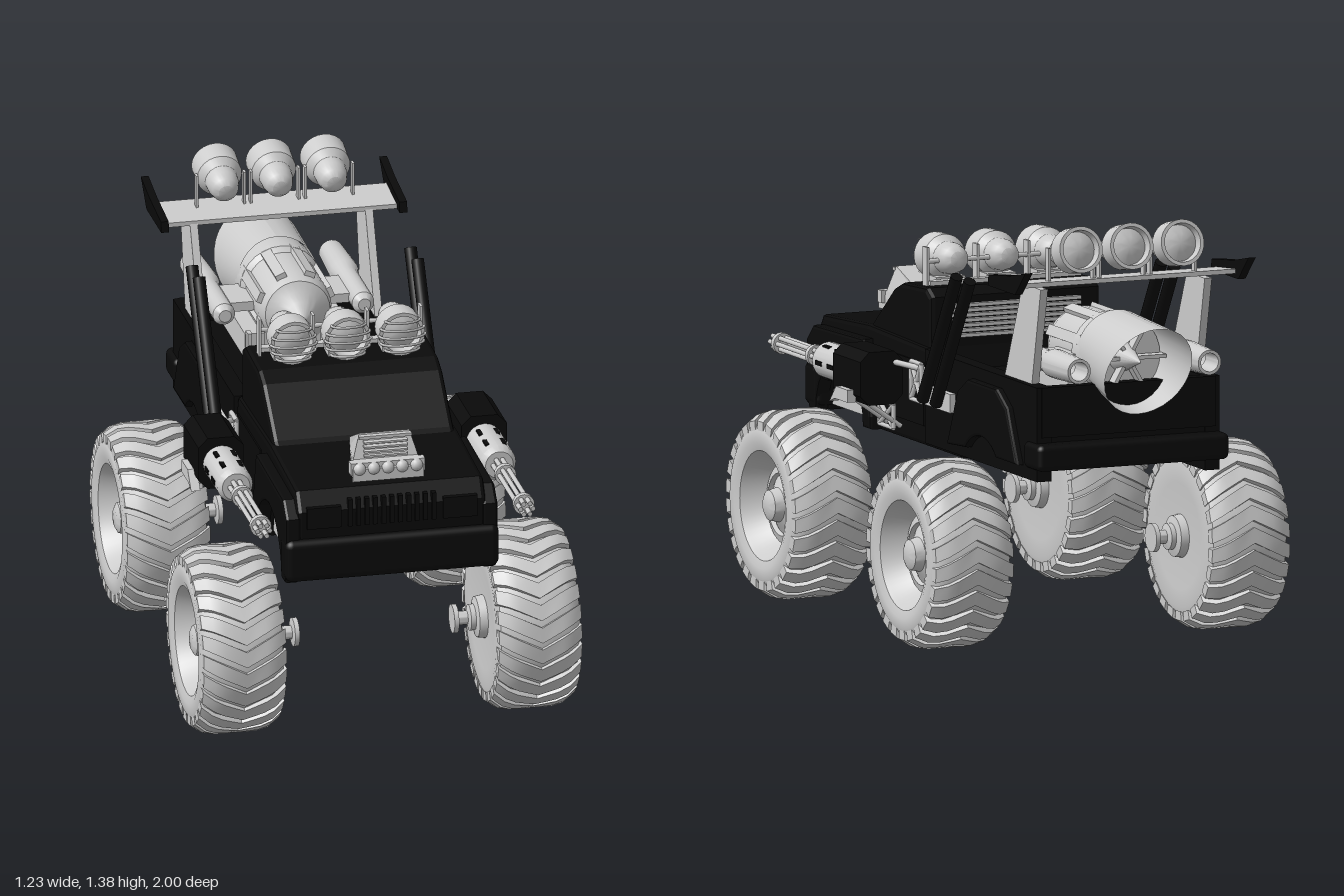
import * as THREE from 'three';
import { toCreasedNormals, mergeGeometries } from 'three/addons/utils/BufferGeometryUtils.js';
import { RoundedBoxGeometry } from 'three/addons/geometries/RoundedBoxGeometry.js';

const grey = new THREE.MeshStandardMaterial({ color: 0xcccccc });
const greyThin = new THREE.MeshStandardMaterial({ color: 0xcccccc, side: THREE.DoubleSide });
const black = new THREE.MeshStandardMaterial({ color: 0x0a0a0a });
const V = (x, y, z) => new THREE.Vector3(x, y, z);

function add(parent, name, geo, mat, x = 0, y = 0, z = 0) {
  const m = new THREE.Mesh(geo, mat);
  m.name = name;
  m.position.set(x, y, z);
  parent.add(m);
  return m;
}
function group(parent, name, x = 0, y = 0, z = 0) {
  const g = new THREE.Group();
  g.name = name;
  g.position.set(x, y, z);
  parent.add(g);
  return g;
}
const box = (w, h, d) => new THREE.BoxGeometry(w, h, d);

// Turned profile of [radius, height] pairs, creased at sharp steps
const lathe = (pts, n = 32) =>
  toCreasedNormals(new THREE.LatheGeometry(pts.map(p => new THREE.Vector2(p[0], p[1])), n), 0.6);
const latheZ = (pts, n) => lathe(pts, n).rotateX(Math.PI / 2);

// Side outline of [z, y] pairs, extruded across x and centred
function side(pts, width, bevel = 0) {
  const shape = new THREE.Shape(pts.map(p => new THREE.Vector2(p[0], p[1])));
  const depth = width - 2 * bevel;
  return new THREE.ExtrudeGeometry(shape, {
    depth, bevelEnabled: bevel > 0, bevelSize: bevel, bevelThickness: bevel, bevelOffset: -bevel, bevelSegments: 2,
  }).translate(0, 0, -depth / 2).rotateY(-Math.PI / 2);
}
function rod(a, b, r, n = 10) {
  const d = b.clone().sub(a);
  const q = new THREE.Quaternion().setFromUnitVectors(V(0, 1, 0), d.clone().normalize());
  return new THREE.CylinderGeometry(r, r, d.length(), n).applyQuaternion(q)
    .translate((a.x + b.x) / 2, (a.y + b.y) / 2, (a.z + b.z) / 2);
}
// Rectangular frame with crossed braces, standing in the zy plane
function crossFrame(x, z0, z1, y0, y1) {
  const c = [V(x, y0, z0), V(x, y0, z1), V(x, y1, z1), V(x, y1, z0)];
  const pairs = [[0, 1], [1, 2], [2, 3], [3, 0], [0, 2], [1, 3]];
  return mergeGeometries(pairs.map(([i, j]) => rod(c[i], c[j], 0.008, 6)));
}
// Points along a wheel arch, from angle a to b
const arc = (z, y, r, a, b, n = 12) =>
  Array.from({ length: n + 1 }, (_, i) => {
    const t = a + (b - a) * i / n;
    return [z + r * Math.cos(t), y + r * Math.sin(t)];
  });

// Chevron lug: a box bent round the tyre, trailing towards both shoulders
function lug(angle) {
  const g = new THREE.BoxGeometry(0.268, 0.03, 0.05, 8, 1, 1), p = g.attributes.position;
  for (let i = 0; i < p.count; i++) {
    const x = p.getX(i), ax = Math.abs(x);
    const r = 0.285 + p.getY(i) - Math.max(0, ax - 0.09) * 0.7;
    const a = angle + p.getZ(i) / 0.3 - ax * 1.7;
    p.setXYZ(i, x, r * Math.cos(a), r * Math.sin(a));
  }
  return toCreasedNormals(g, 0.5);
}

function wheel(parent, name, s, z) {
  const w = group(parent, name, s * 0.477, 0.3, z);
  const turn = -s * Math.PI / 2;
  add(w, 'tyre', lathe([[0, -0.12], [0.17, -0.13], [0.225, -0.134], [0.258, -0.125], [0.28, -0.09], [0.288, 0],
    [0.28, 0.09], [0.262, 0.122], [0.235, 0.136], [0.2, 0.136], [0.175, 0.128], [0.168, 0.115],
    [0.135, 0.05], [0.13, 0.045], [0, 0.045]], 48).rotateZ(turn), grey);
  add(w, 'wheelHub', lathe([[0.13, 0.04], [0.125, 0.058], [0.1, 0.066], [0.095, 0.052], [0.055, 0.075],
    [0.048, 0.105], [0.03, 0.115], [0, 0.115]]).rotateZ(turn), grey);
  add(w, 'axleStub', lathe([[0, -0.227], [0.046, -0.227], [0.046, -0.212], [0.022, -0.208], [0.022, -0.178],
    [0.042, -0.172], [0.042, -0.156], [0.065, -0.15], [0.07, -0.12], [0, -0.12]], 24).rotateZ(turn), grey);
  const n = 26;
  add(w, 'treadLugs', mergeGeometries(Array.from({ length: n }, (_, i) => lug(i * 2 * Math.PI / n))), grey);
}

// Round lamp facing +z
function lamp(parent, name, x, y, z, grille) {
  const g = group(parent, name, x, y, z);
  add(g, 'lampHousing', latheZ([[0, -0.12], [0.025, -0.116], [0.042, -0.1], [0.05, -0.07], [0.052, -0.04],
    [0.072, -0.015], [0.074, 0.06], [0.062, 0.06], [0.058, 0.03], [0.03, 0.042], [0, 0.046]], 24), grey);
  if (grille) for (let i = -2; i <= 2; i++) {
    const h = i * 0.025, w = Math.sqrt(0.074 ** 2 - h * h);
    add(g, 'lampGuardBar', new THREE.TorusGeometry(w, 0.005, 5, 12, Math.PI).rotateX(Math.PI / 2).scale(1, 1, 0.45),
      grey, 0, h, 0.06);
  }
  return g;
}

function buildBody(car) {
  const body = group(car, 'body');
  add(body, 'lowerBody', side([[0.94, 0.6], [0.95, 0.8], [0.91, 0.86], [0.56, 0.88], [0.1, 0.87], [0.08, 0.8],
    [-0.76, 0.8], [-0.76, 0.61], [-0.22, 0.6], [-0.15, 0.555], [0.5, 0.555],
    ...arc(0.7, 0.56, 0.18, Math.PI, 0), [0.9, 0.57]], 0.61, 0.015), black);
  add(body, 'frontWheelWell', side([[0.52, 0.58], [0.88, 0.58], ...arc(0.7, 0.56, 0.178, 0.1, Math.PI - 0.1)], 0.57), grey);
  add(body, 'cab', side([[0.6, 0.86], [0.55, 0.89], [0.39, 1.02], [0.33, 1.045], [0.14, 1.055], [0.1, 1.03],
    [0.1, 0.82], [0.55, 0.82]], 0.585, 0.015), black);
  add(body, 'frontBumper', new RoundedBoxGeometry(0.69, 0.14, 0.1, 3, 0.025), black, 0, 0.64, 0.92);
  add(body, 'rearBumper', new RoundedBoxGeometry(0.66, 0.085, 0.13, 3, 0.02), black, 0, 0.65, -0.75);
  add(body, 'tailgate', box(0.6, 0.16, 0.04), black, 0, 0.79, -0.75);
  for (let i = -5; i <= 5; i++) add(body, 'grilleSlat', box(0.014, 0.09, 0.02), black, i * 0.027, 0.79, 0.948);
  // Rear window louvre
  for (let i = 0; i < 7; i++) add(body, 'rearLouvre', box(0.44, 0.011, 0.02), grey, 0, 0.905 + i * 0.016, 0.095);
  for (const s of [1, -1]) {
    add(body, 'headlightFrame', box(0.11, 0.07, 0.02), black, s * 0.22, 0.78, 0.948);
    add(body, 'bedSide', box(0.05, 0.3, 0.86), black, s * 0.29, 0.72, -0.335);
    add(body, 'frontFender', side([[0.95, 0.6], [0.95, 0.78], [0.9, 0.83], [0.52, 0.84], [0.46, 0.6], [0.46, 0.56],
      [0.52, 0.56], ...arc(0.7, 0.56, 0.18, Math.PI, 0), [0.93, 0.56]], 0.05, 0.01), black, s * 0.318);
    add(body, 'rearFender', side([[-0.12, 0.6], [-0.2, 0.78], [-0.28, 0.83], [-0.5, 0.83], [-0.58, 0.78],
      [-0.66, 0.61], ...arc(-0.38, 0.5, 0.16, 0.75, 2.39).reverse()], 0.05, 0.01), black, s * 0.315);
    add(body, 'doorPanel', box(0.02, 0.2, 0.32), black, s * 0.3, 0.72, 0.28);
    add(body, 'sideCrossFrame', crossFrame(s * 0.325, 0.1, 0.18, 0.7, 0.82), grey);
    // Slanted stacks with their mounting plate
    add(body, 'stackPlate', box(0.02, 0.06, 0.19), grey, s * 0.325, 0.73, -0.045);
    for (const dz of [0, -0.1])
      add(body, 'exhaustStack', rod(V(s * 0.353, 0.72, 0.03 + dz), V(s * 0.353, 1.15, -0.232 + dz), 0.02, 14), black);
  }
}

function buildScoop(car) {
  const g = group(car, 'hoodScoop');
  // Wedge that narrows towards the windscreen
  const wedge = side([[0.59, 0.87], [0.9, 0.87], [0.9, 0.91], [0.86, 0.93], [0.84, 1.01], [0.59, 0.9]], 2);
  const p = wedge.attributes.position;
  for (let i = 0; i < p.count; i++) {
    const half = 0.055 + 0.06 * (p.getZ(i) - 0.59) / 0.31 - Math.max(0, p.getY(i) - 0.92) * 0.25;
    p.setX(i, p.getX(i) * half);
  }
  wedge.computeVertexNormals();
  add(g, 'scoopWedge', wedge, grey);
  add(g, 'scoopFrame', box(0.17, 0.01, 0.02), grey, 0, 1.0, 0.85);
  for (let i = 0; i < 4; i++) add(g, 'scoopSlat', box(0.14, 0.006, 0.02), grey, 0, 0.94 + i * 0.015, 0.86);
  add(g, 'scoopLip', box(0.24, 0.04, 0.03), grey, 0, 0.91, 0.88);
  for (let i = -2; i <= 2; i++) add(g, 'scoopLight', new THREE.SphereGeometry(0.021, 12, 8), grey, i * 0.046, 0.91, 0.892);
}

function buildGun(car, s) {
  const g = group(car, s > 0 ? 'leftGun' : 'rightGun', s * 0.425, 0.77, 0);
  const w = 0.073, h = 0.085, c = 0.03;
  const shape = new THREE.Shape([[-w, c - h], [c - w, -h], [w - c, -h], [w, c - h], [w, h - c], [w - c, h],
    [c - w, h], [-w, h - c]].map(q => new THREE.Vector2(...q)));
  add(g, 'gunCase', new THREE.ExtrudeGeometry(shape, { depth: 0.21, bevelEnabled: false }), black, 0, 0, 0.185);
  add(g, 'gunShroud', latheZ([[0, 0.38], [0.058, 0.38], [0.058, 0.59], [0.045, 0.61], [0, 0.61]], 20), grey);
  for (let i = 0; i < 6; i++) {
    const a = i * Math.PI / 3, x = Math.cos(a), y = Math.sin(a);
    add(g, 'gunBarrel', rod(V(x * 0.02, y * 0.02, 0.6), V(x * 0.02, y * 0.02, 1), 0.008, 8), grey);
    for (const z of [0.45, 0.54]) add(g, 'shroudVent', box(0.014, 0.014, 0.045), black, x * 0.054, y * 0.054, z);
  }
  for (const z of [0.69, 0.95])
    add(g, 'barrelClamp', latheZ([[0, -0.01], [0.034, -0.01], [0.034, 0.01], [0, 0.01]], 16), grey, 0, 0, z);
  // Mount that ties the gun to the body
  add(g, 'ammoBox', side([[0.24, -0.08], [0.34, -0.08], [0.38, -0.095], [0.33, -0.04], [0.24, -0.04]], 0.03), grey, s * 0.078);
  for (const z of [0.26, 0.36])
    add(g, 'mountStrut', rod(V(-s * 0.1, -0.17, z), V(s * 0.02, -0.085, z), 0.008, 8), grey);
  add(g, 'mountFrame', crossFrame(-s * 0.075, 0.26, 0.37, -0.175, -0.1), grey);
  add(g, 'upperStrut', rod(V(-s * 0.12, 0.03, 0.1), V(-s * 0.04, 0.05, 0.2), 0.01, 8), grey);
}

function buildJet(car) {
  const g = group(car, 'jetEngine', 0, 0.945, 0);
  add(g, 'jetCore', latheZ([[0, -0.72], [0.13, -0.72], [0.132, -0.62], [0.118, -0.6], [0.118, -0.42], [0.105, -0.38],
    [0.075, -0.365], [0.05, -0.34], [0, -0.29]], 28), grey);
  for (let i = 0; i < 8; i++) {
    const a = (i + 0.5) * Math.PI / 4;
    add(g, 'jetRib', box(0.025, 0.035, 0.24), grey, Math.cos(a) * 0.118, Math.sin(a) * 0.118, -0.53).rotation.z = a;
  }
  // Nozzle with slanted ends
  const nozzle = new THREE.CylinderGeometry(0.147, 0.128, 1, 32, 4, true), p = nozzle.attributes.position;
  for (let i = 0; i < p.count; i++) {
    const x = p.getX(i), t = p.getY(i) + 0.5, y = p.getZ(i);
    const front = -0.655 - y * 0.15, back = -0.92 - y * 0.55;
    p.setXYZ(i, -x, y + 0.015 - 0.035 * t, front + (back - front) * t);
  }
  nozzle.computeVertexNormals();
  add(g, 'jetNozzle', nozzle, greyThin);
  add(g, 'tailCone', new THREE.ConeGeometry(0.05, 0.15, 20).rotateX(-Math.PI / 2), grey, 0, 0, -0.79);
  for (let i = 0; i < 6; i++) {
    const a = i * Math.PI / 3;
    const vane = add(g, 'nozzleVane', box(0.1, 0.012, 0.04), grey, Math.cos(a) * 0.08, Math.sin(a) * 0.08, -0.75);
    vane.rotation.z = a;
  }
  add(g, 'jetCradle', box(0.34, 0.09, 0.3), grey, 0, -0.105, -0.53);
  for (let i = -4; i <= 4; i++) add(g, 'cradleFin', box(0.014, 0.1, 0.03), grey, i * 0.04, -0.1, -0.37);
  for (const s of [1, -1]) {
    add(g, 'sideThruster', latheZ([[0.025, -0.8], [0.03, -0.89], [0.04, -0.89], [0.046, -0.74], [0.046, -0.7],
      [0.036, -0.66], [0.036, -0.44], [0.02, -0.42], [0, -0.42]], 18), greyThin, s * 0.225, -0.01, 0);
    add(g, 'thrusterArm', box(0.12, 0.03, 0.16), grey, s * 0.16, -0.01, -0.57);
  }
}

function buildSpoiler(car) {
  const g = group(car, 'spoiler');
  add(g, 'wing', side([[-0.61, 1.175], [-0.61, 1.19], [-0.76, 1.205], [-0.76, 1.19]], 0.75), grey);
  for (const s of [1, -1]) {
    add(g, 'wingStrut', side([[-0.47, 0.86], [-0.61, 1.18], [-0.75, 1.18], [-0.68, 0.86]], 0.025), grey, s * 0.283);
    add(g, 'endPlate', side([[-0.57, 1.175], [-0.575, 1.21], [-0.74, 1.23], [-0.86, 1.255], [-0.78, 1.175]], 0.025),
      black, s * 0.385);
  }
  for (const x of [-0.175, 0, 0.175]) {
    lamp(g, 'rearLamp', x, 1.295, -0.735, false).rotation.set(0.2, Math.PI, 0);
    for (const s of [1, -1]) {
      add(g, 'rearLampBracket', box(0.008, 0.11, 0.025), grey, x + s * 0.077, 1.25, -0.71);
    }
  }
}

function buildRoofLamps(car) {
  const g = group(car, 'roofLamps');
  add(g, 'roofBar', box(0.52, 0.014, 0.03), grey, 0, 1.062, 0.19);
  add(g, 'lampRail', rod(V(-0.26, 1.13, 0.2), V(0.26, 1.13, 0.2), 0.008, 8), grey);
  for (const x of [-0.26, -0.0875, 0.0875, 0.26])
    add(g, 'lampPost', box(0.009, 0.13, 0.035), grey, x, 1.11, 0.21);
  for (const x of [-0.175, 0, 0.175]) {
    lamp(g, 'roofLamp', x, 1.13, 0.27, true).rotation.x = 0.06;
    add(g, 'lampFoot', box(0.1, 0.03, 0.06), grey, x, 1.06, 0.24);
  }
}

export function createModel() {
  const car = new THREE.Group();
  car.name = 'armedBuggy';
  buildBody(car);
  buildScoop(car);
  buildRoofLamps(car);
  buildJet(car);
  buildSpoiler(car);
  for (const s of [1, -1]) {
    const name = s > 0 ? 'left' : 'right';
    buildGun(car, s);
    wheel(car, name + 'FrontWheel', s, 0.7);
    wheel(car, name + 'RearWheel', s, -0.38);
  }
  return car;
}
